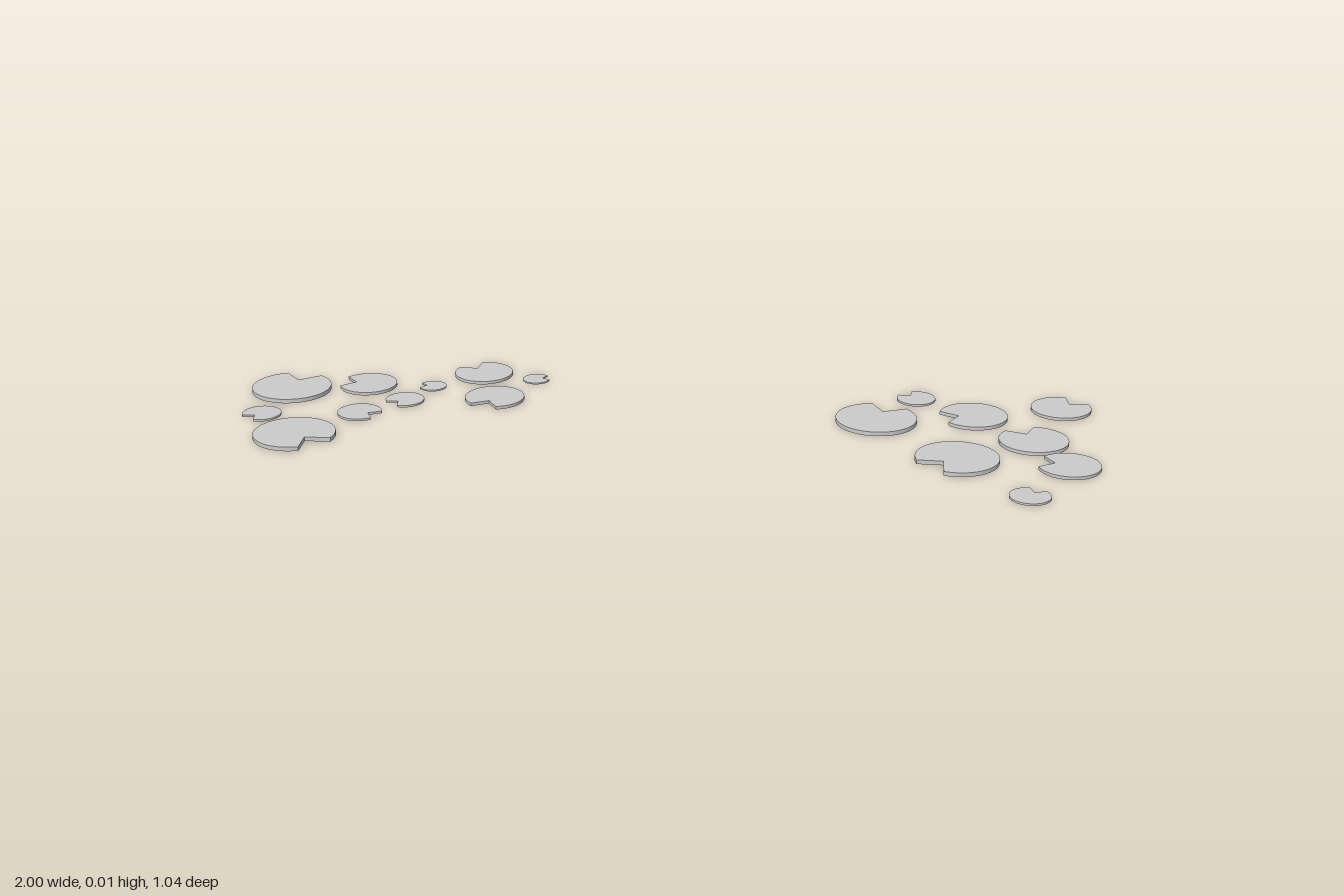
import * as THREE from 'three';

const NOTCH = THREE.MathUtils.degToRad(27); // half angle of the cut-out

// x, z, radius, notch direction in degrees (0 = +x, 90 = -z)
const LEFT_PADS = [
  [0.60, -0.145, 0.046, 117], [0.475, -0.016, 0.095, 57], [0.706, -0.008, 0.08, 183],
  [0.925, -0.032, 0.071, 38], [0.804, 0.163, 0.08, 101], [0.604, 0.248, 0.095, 211],
  [0.842, 0.32, 0.071, 153], [0.71, 0.473, 0.046, 50],
];
const RIGHT_PADS = [
  [-0.888, -0.406, 0.095, 70], [-0.703, -0.411, 0.069, 162], [-0.954, -0.243, 0.046, 220],
  [-0.874, -0.094, 0.095, -56], [-0.617, -0.294, 0.046, 217], [-0.725, -0.222, 0.052, -33],
  [-0.548, -0.382, 0.033, 168], [-0.42, -0.454, 0.071, 117], [-0.403, -0.278, 0.071, 242],
  [-0.294, -0.4, 0.033, 5],
];

// Unit pad lying flat: a disc with a wedge cut out towards +x
function padGeometry() {
  const shape = new THREE.Shape();
  shape.moveTo(0.45, 0);
  shape.lineTo(Math.cos(NOTCH), Math.sin(NOTCH));
  shape.absarc(0, 0, 1, NOTCH, Math.PI * 2 - NOTCH, false);
  shape.closePath();
  const geo = new THREE.ExtrudeGeometry(shape, { depth: 0.105, bevelEnabled: false, curveSegments: 40 });
  return geo.rotateX(-Math.PI / 2);
}

export function createModel() {
  const model = new THREE.Group();
  model.name = 'lilyPads';
  const material = new THREE.MeshStandardMaterial({ color: 0xcccccc });
  const geometry = padGeometry();

  // Two floating clusters of pads
  const addCluster = (name, pads) => {
    const cluster = new THREE.Group();
    cluster.name = name;
    pads.forEach(([x, z, radius, notch], i) => {
      const pad = new THREE.Mesh(geometry, material);
      pad.name = `lilyPad${i + 1}`;
      pad.position.set(x, 0, z);
      pad.rotation.y = THREE.MathUtils.degToRad(notch);
      pad.scale.setScalar(radius);
      cluster.add(pad);
    });
    model.add(cluster);
  };
  addCluster('leftCluster', LEFT_PADS);
  addCluster('rightCluster', RIGHT_PADS);
  return model;
}
